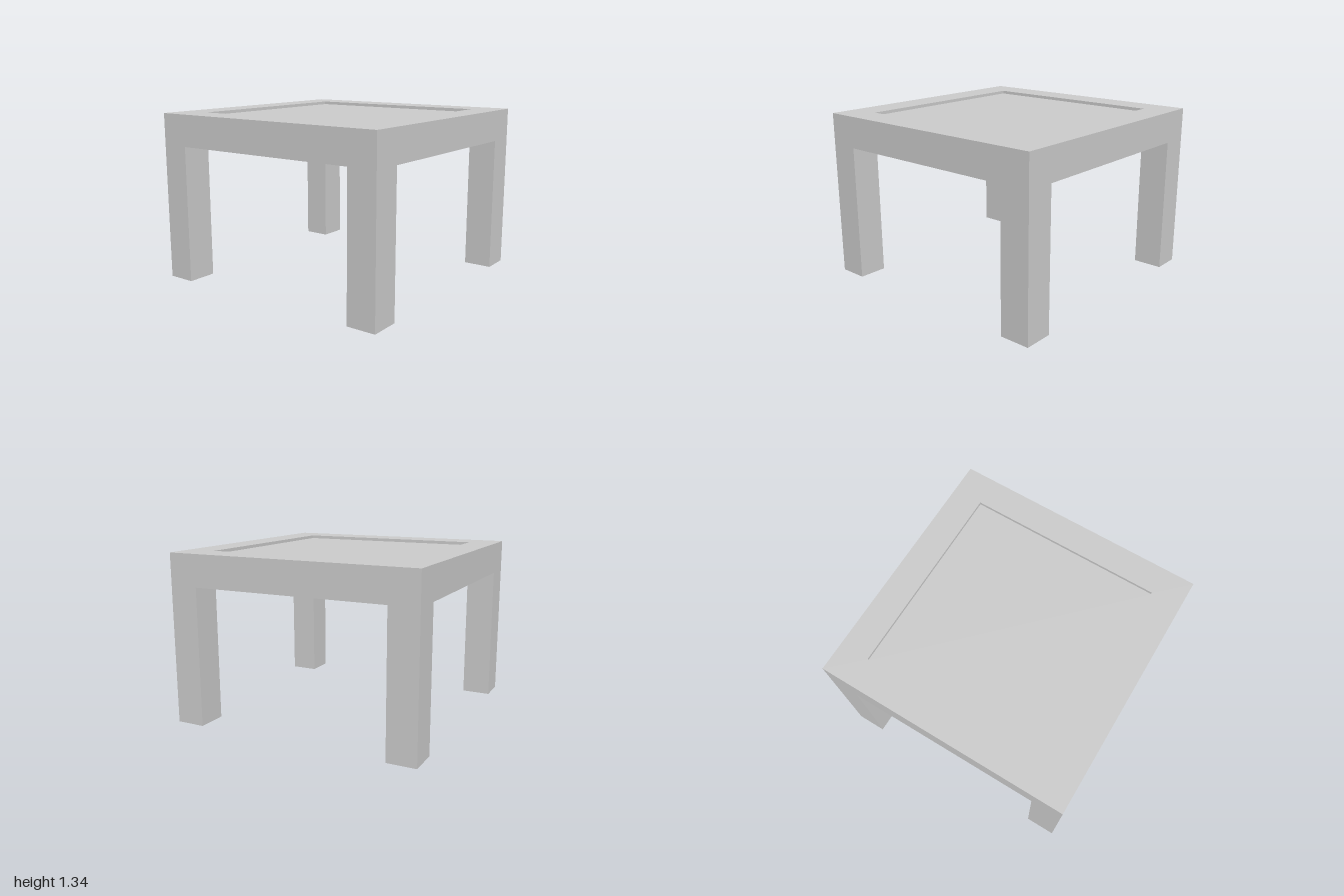
import * as THREE from 'three';

const HEIGHT = 1.335;      // overall height
const UNDERSIDE = 1.085;   // bottom of the table top
const PANEL_TOP = 1.31;    // floor of the shallow recess
const IN_X = 0.763;        // half width of the recess, and inner faces of the legs
const IN_Z = 0.772;

export function createModel() {
  const table = new THREE.Group();
  table.name = 'table';
  const material = new THREE.MeshStandardMaterial({ color: 0xcccccc, flatShading: true });

  const add = (name, geometry, x, y, z) => {
    const mesh = new THREE.Mesh(geometry, material);
    mesh.name = name;
    mesh.position.set(x, y, z);
    table.add(mesh);
  };
  const rectangle = (Type, hx, hz) => new Type([
    new THREE.Vector2(-hx, -hz), new THREE.Vector2(hx, -hz),
    new THREE.Vector2(hx, hz), new THREE.Vector2(-hx, hz),
  ]);

  // Square frame around the top, extruded upward
  const outline = rectangle(THREE.Shape, 1, 1);
  outline.holes.push(rectangle(THREE.Path, IN_X, IN_Z));
  const frame = new THREE.ExtrudeGeometry(outline, { depth: HEIGHT - UNDERSIDE, bevelEnabled: false });
  frame.rotateX(-Math.PI / 2);
  add('topFrame', frame, 0, UNDERSIDE, 0);

  // Recessed panel, flush with the frame underneath
  const thickness = PANEL_TOP - UNDERSIDE;
  add('topPanel', new THREE.BoxGeometry(2 * IN_X, thickness, 2 * IN_Z), 0, UNDERSIDE + thickness / 2, 0);

  // Four corner legs, flush with the outer faces
  const leg = new THREE.BoxGeometry(1 - IN_X, UNDERSIDE, 1 - IN_Z);
  for (const [sx, side] of [[1, 'Left'], [-1, 'Right']]) {
    for (const [sz, end] of [[1, 'front'], [-1, 'back']]) {
      add(`${end}${side}Leg`, leg, sx * (1 + IN_X) / 2, UNDERSIDE / 2, sz * (1 + IN_Z) / 2);
    }
  }
  return table;
}
